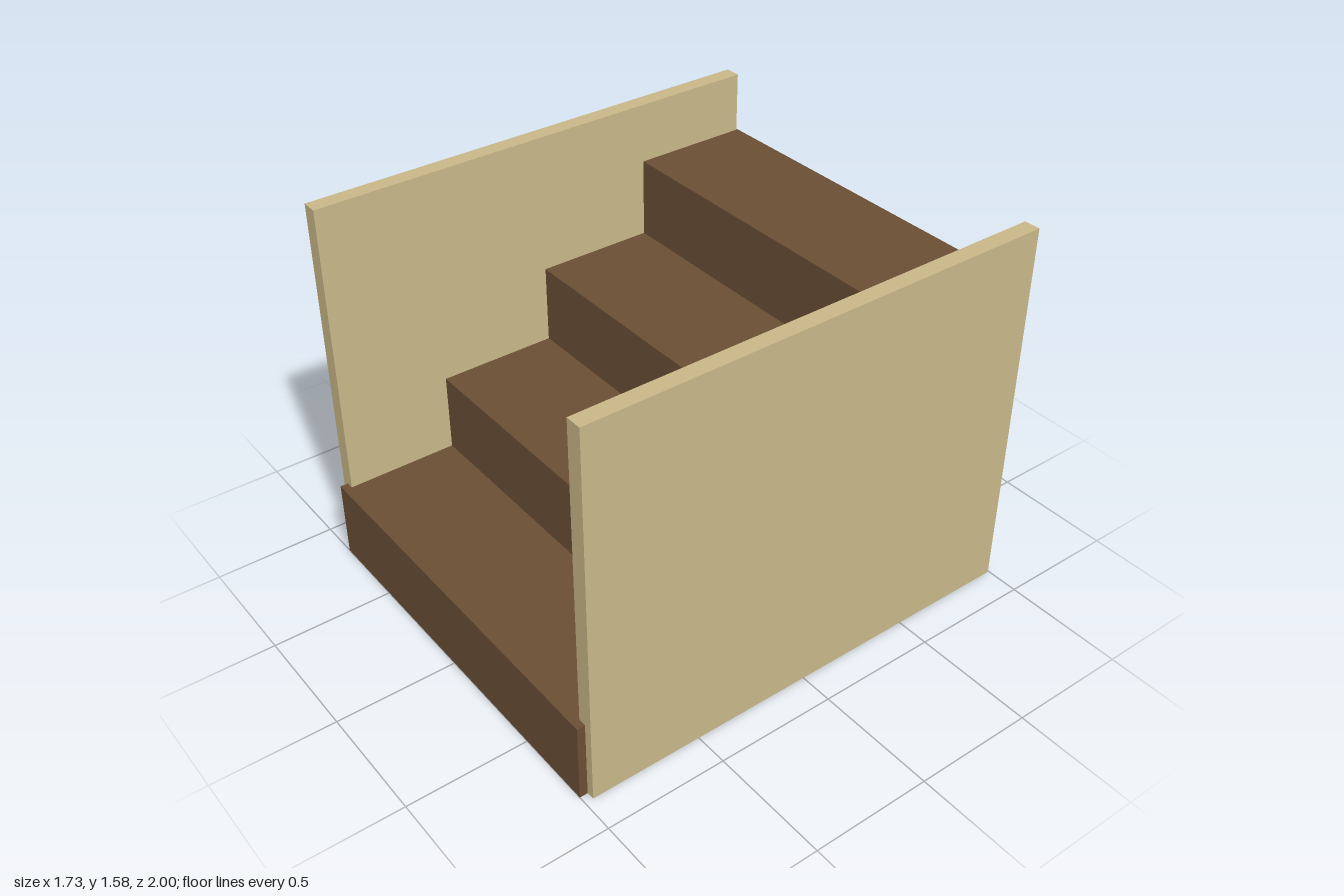
import * as THREE from 'three';

export function createModel() {
  const group = new THREE.Group();
  const brown = new THREE.MeshStandardMaterial({ name: 'brownWood', color: 0x6b4e35 });
  const tan = new THREE.MeshStandardMaterial({ name: 'tanWall', color: 0xc7b687 });

  // Solid flight of steps: stepped side profile (z, y) extruded across x
  const steps = 4, rise = 1.334 / steps, run = 2 / steps, width = 1.66;
  const profile = new THREE.Shape();
  profile.moveTo(-1, 0);
  profile.lineTo(1, 0);
  for (let i = 0; i < steps; i++) {
    profile.lineTo(1 - i * run, (i + 1) * rise);
    profile.lineTo(1 - (i + 1) * run, (i + 1) * rise);
  }
  const stairGeometry = new THREE.ExtrudeGeometry(profile, { depth: width, bevelEnabled: false });
  stairGeometry.translate(0, 0, -width / 2).rotateY(-Math.PI / 2);
  const stairs = new THREE.Mesh(stairGeometry, brown);
  stairs.name = 'stairs';
  group.add(stairs);

  // Side walls, overlapping the ends of the steps
  const wallBottom = 0.002, wallTop = 1.585, wallBack = -0.993, wallFront = 0.967;
  const wallGeometry = new THREE.BoxGeometry(0.066, wallTop - wallBottom, wallFront - wallBack);
  for (const side of [-1, 1]) {
    const wall = new THREE.Mesh(wallGeometry, tan);
    wall.name = side > 0 ? 'leftWall' : 'rightWall';
    wall.position.set(side * 0.83, (wallTop + wallBottom) / 2, (wallFront + wallBack) / 2);
    group.add(wall);
  }

  return group;
}
